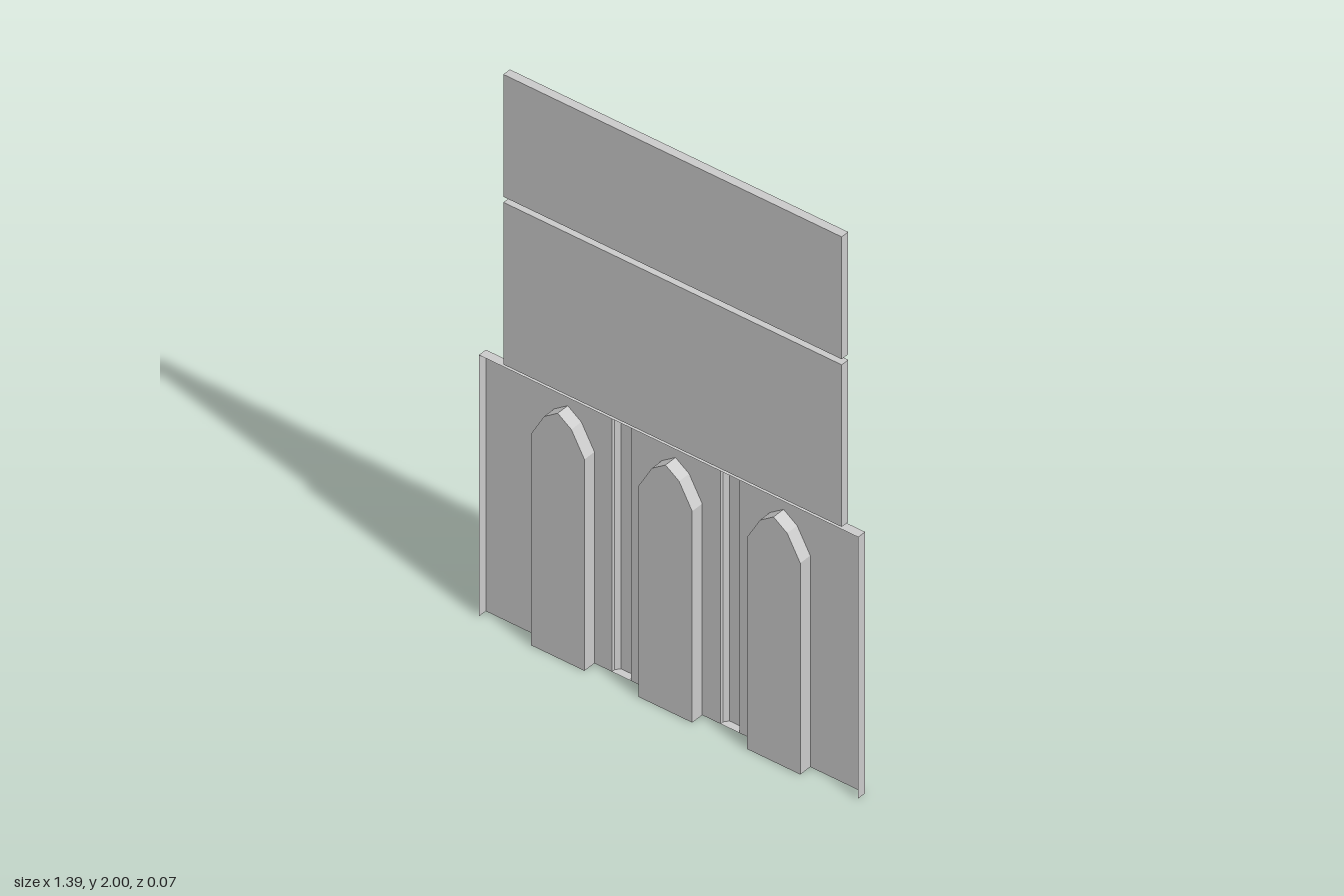
import * as THREE from 'three';

const material = new THREE.MeshStandardMaterial({ color: 0xcccccc, side: THREE.DoubleSide });
const WALL_TOP = 0.94, WALL_Z = -0.01, RIM_Z = 0.022, ARCH_Z = 0.036, PILLAR_Z = -0.037;

function add(group, name, geometry, x = 0, y = 0, z = 0) {
  const mesh = new THREE.Mesh(geometry, material);
  mesh.name = name;
  mesh.position.set(x, y, z);
  group.add(mesh);
  return mesh;
}

// Flat-faced strip: sweeps an open line of 3D points along one direction
function ribbon(points, [dx, dy, dz]) {
  const v = [];
  for (let i = 0; i < points.length - 1; i++) {
    const a = points[i], b = points[i + 1];
    const c = [b[0] + dx, b[1] + dy, b[2] + dz], d = [a[0] + dx, a[1] + dy, a[2] + dz];
    v.push(...a, ...b, ...c, ...a, ...c, ...d);
  }
  const g = new THREE.BufferGeometry();
  g.setAttribute('position', new THREE.Float32BufferAttribute(v, 3));
  g.computeVertexNormals();
  return g;
}

const flat = pts => new THREE.ShapeGeometry(new THREE.Shape(pts.map(p => new THREE.Vector2(p[0], p[1]))));

// Pointed arch outline, open at the floor
const arch = [[-0.098, 0], [-0.098, 0.76], [-0.05, 0.845], [0, 0.88], [0.05, 0.845], [0.098, 0.76], [0.098, 0]];
// Plan of a pillar: x and z
const pillar = [[-0.035, WALL_Z], [-0.035, -0.022], [-0.023, PILLAR_Z], [0.023, PILLAR_Z], [0.035, -0.022], [0.035, WALL_Z]];

export function createModel() {
  const model = new THREE.Group();

  // Upper storeys: two plain slabs
  for (const [name, y0, y1] of [['middlePanel', 0.957, 1.54], ['topPanel', 1.56, 2]]) {
    add(model, name, new THREE.BoxGeometry(1.24, y1 - y0, 0.03), 0.02, (y0 + y1) / 2, 0.016);
  }

  // Wall bays, each with an arched panel pushed forward
  const bays = [[-0.697, -0.235, -0.397], [-0.165, 0.163, -0.002], [0.233, 0.693, 0.394]];
  for (const [x0, x1, cx] of bays) {
    const bay = new THREE.Group();
    bay.name = 'wallBay';
    const outline = arch.map(([x, y]) => [x + cx, y]);
    add(bay, 'wall', flat([[x0, 0], ...outline, [x1, 0], [x1, WALL_TOP], [x0, WALL_TOP]]), 0, 0, WALL_Z);
    add(bay, 'archPanel', flat(outline), 0, 0, ARCH_Z);
    add(bay, 'archReveal', ribbon(outline.map(([x, y]) => [x, y, WALL_Z]), [0, 0, ARCH_Z - WALL_Z]));
    model.add(bay);
  }

  // Hollow pillars standing out at the back, capped at both ends
  for (const cx of [-0.2, 0.198]) {
    const group = new THREE.Group();
    group.name = 'pillar';
    group.position.x = cx;
    add(group, 'pillarShaft', ribbon(pillar.map(([x, z]) => [x, 0, z]), [0, WALL_TOP, 0]));
    for (const y of [0, WALL_TOP]) {
      add(group, 'pillarCap', flat(pillar), 0, y, 0).rotation.x = Math.PI / 2;
    }
    model.add(group);
  }

  // Rim turned forward along the ends and top of the wall
  const rim = [[-0.697, 0, WALL_Z], [-0.697, WALL_TOP, WALL_Z], [0.693, WALL_TOP, WALL_Z], [0.693, 0, WALL_Z]];
  add(model, 'wallRim', ribbon(rim, [0, 0, RIM_Z - WALL_Z]));

  return model;
}
